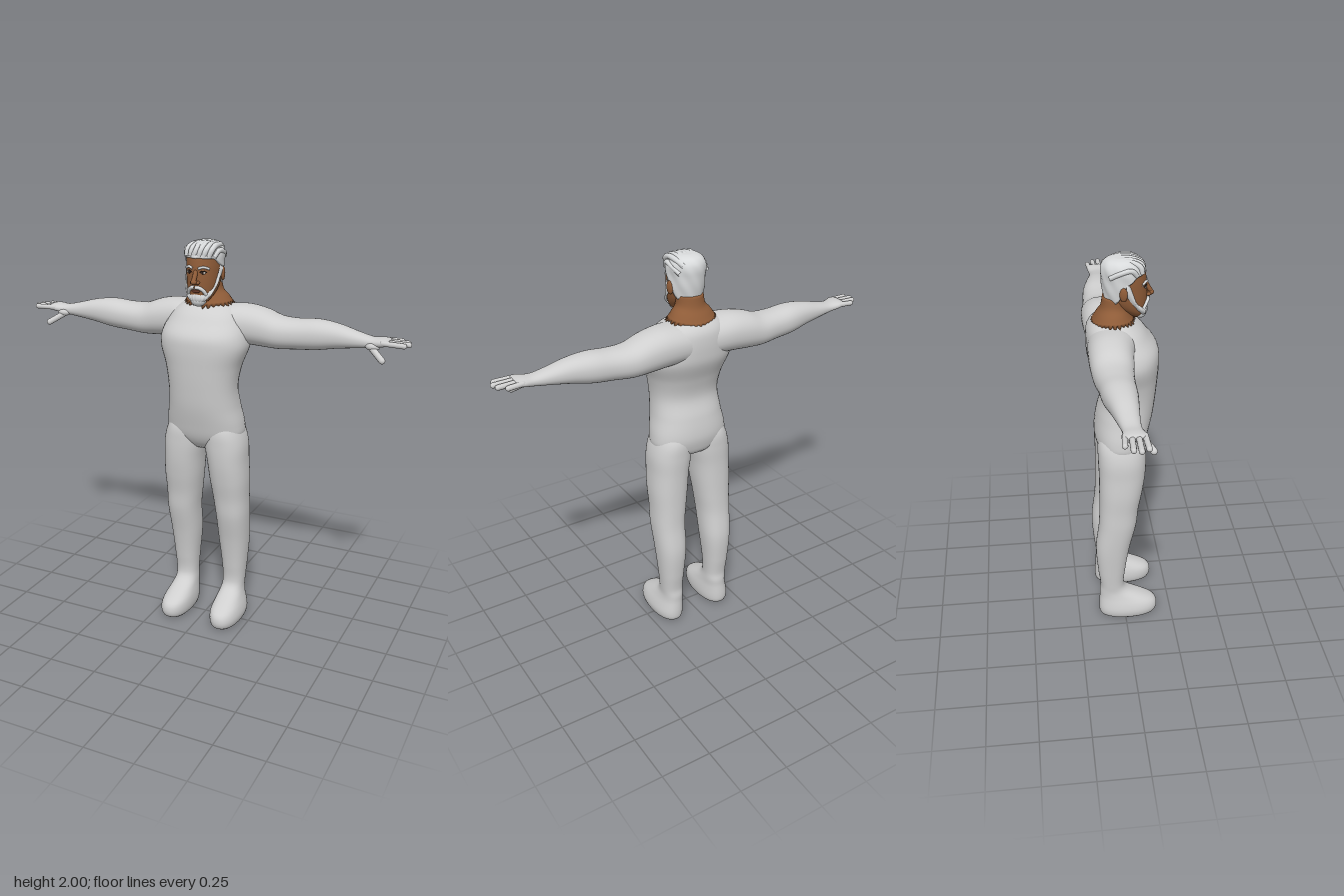
import * as THREE from 'three';

const mat = (name, color, side = THREE.FrontSide) => {
  const m = new THREE.MeshStandardMaterial({ color, side });
  m.name = name;
  return m;
};

// Smooth lookup in a table of rows [t, a, b, ...]
function sample(rows, t) {
  let i = 0;
  while (i < rows.length - 2 && t > rows[i + 1][0]) i++;
  const p = rows[i], q = rows[i + 1], o = rows[Math.max(i - 1, 0)], r = rows[Math.min(i + 2, rows.length - 1)];
  const h = q[0] - p[0], s = THREE.MathUtils.clamp((t - p[0]) / h, 0, 1);
  return p.slice(1).map((a, k) => {
    const b = q[k + 1];
    const m0 = (b - o[k + 1]) / (q[0] - o[0]) * h, m1 = (r[k + 1] - a) / (r[0] - p[0]) * h;
    return (2 * s ** 3 - 3 * s * s + 1) * a + (s ** 3 - 2 * s * s + s) * m0
      + (3 * s * s - 2 * s ** 3) * b + (s ** 3 - s * s) * m1;
  });
}

// Grid surface from fn(u, v) -> [x, y, z]; closed grids get end caps
function surface(fn, nu, nv, closed = true) {
  const pos = [], idx = [], cols = closed ? nu : nu + 1;
  for (let j = 0; j <= nv; j++) for (let i = 0; i < cols; i++) pos.push(...fn(i / nu, j / nv));
  for (let j = 0; j < nv; j++) for (let i = 0; i < nu; i++) {
    const a = j * cols + i, b = j * cols + (i + 1) % cols;
    idx.push(a, b, b + cols, a, b + cols, a + cols);
  }
  if (closed) for (const j of [0, nv]) {
    const c = [0, 0, 0];
    for (let i = 0; i < nu; i++) for (let k = 0; k < 3; k++) c[k] += pos[(j * cols + i) * 3 + k] / nu;
    const n = pos.length / 3;
    pos.push(...c);
    for (let i = 0; i < nu; i++) {
      const a = j * cols + i, b = j * cols + (i + 1) % cols;
      idx.push(n, j ? a : b, j ? b : a);
    }
  }
  const g = new THREE.BufferGeometry();
  g.setAttribute('position', new THREE.Float32BufferAttribute(pos, 3));
  g.setIndex(idx);
  g.computeVertexNormals();
  return g;
}

// Rounded cross-section offsets; p below 1 squares the ellipse
const round = (c, p) => Math.sign(c) * Math.abs(c) ** p;

// Loft along y (rows: y, cx, rx, cz, rz) or x (rows: x, cy, ry, cz, rz)
function loft(rows, axis, p = 0.9, nu = 40, nv = 56) {
  const lo = rows[0][0], hi = rows[rows.length - 1][0];
  return surface((u, v) => {
    const t = lo + (hi - lo) * v, [c1, r1, cz, rz] = sample(rows, t), th = u * Math.PI * 2;
    const s = round(Math.sin(th), p), c = round(Math.cos(th), p);
    return axis === 'y' ? [c1 + r1 * s, t, cz + rz * c] : [t, c1 + r1 * c, cz + rz * s];
  }, nu, nv);
}

function mirrored(g) {
  const m = g.clone().applyMatrix4(new THREE.Matrix4().makeScale(-1, 1, 1));
  m.index.array.reverse();
  m.computeVertexNormals();
  return m;
}

export function createModel() {
  const model = new THREE.Group();
  model.name = 'standingMan';
  const suit = mat('suitGrey', 0xcfcfcf), skin = mat('skinBrown', 0x8f5c38);
  const hair = mat('hairWhite', 0xd8dadb, THREE.DoubleSide);
  const lip = mat('lipBrown', 0x5e3426), eyeWhite = mat('eyeWhite', 0xd6d0c8), iris = mat('irisDark', 0x2a1c16);
  const add = (name, geo, m, parent = model) => {
    const mesh = new THREE.Mesh(geo, m);
    mesh.name = name;
    parent.add(mesh);
    return mesh;
  };
  const ball = (name, m, pos, size) => {
    const b = add(name, new THREE.SphereGeometry(1, 20, 14), m);
    b.position.set(...pos);
    b.scale.set(...size);
    return b;
  };
  const limb = (name, m, a, b, r) => {
    const A = new THREE.Vector3(...a), d = new THREE.Vector3(...b).sub(A), l = d.length();
    const mesh = add(name, new THREE.CapsuleGeometry(r, l - 2 * r, 6, 14), m);
    mesh.position.copy(A).addScaledVector(d, 0.5);
    mesh.quaternion.setFromUnitVectors(new THREE.Vector3(0, 1, 0), d.normalize());
  };
  const tube = (name, m, pts, r) =>
    add(name, new THREE.TubeGeometry(new THREE.CatmullRomCurve3(pts.map(p => new THREE.Vector3(...p))), 16, r, 8), m);

  // Torso
  add('torso', loft([
    [0.97, 0, 0.06, 0, 0.06], [1.0, 0, 0.14, -0.013, 0.1], [1.04, 0, 0.195, -0.012, 0.12],
    [1.1, 0, 0.2, -0.008, 0.133], [1.2, 0, 0.182, 0.01, 0.138], [1.3, 0, 0.175, 0.028, 0.133],
    [1.4, 0, 0.19, 0.022, 0.148], [1.5, 0, 0.222, 0.005, 0.17], [1.56, 0, 0.215, -0.003, 0.17],
    [1.62, 0, 0.19, -0.025, 0.148], [1.66, 0, 0.165, -0.037, 0.128], [1.69, 0, 0.13, -0.045, 0.098],
    [1.71, 0, 0.085, -0.045, 0.07]], 'y', 0.88), suit);

  // Legs with feet, arms with palms
  const leg = loft([
    [0, 0.143, 0.06, 0.015, 0.13], [0.015, 0.143, 0.073, 0.015, 0.15], [0.05, 0.143, 0.08, 0.017, 0.157],
    [0.09, 0.14, 0.075, 0.01, 0.148], [0.125, 0.137, 0.065, -0.02, 0.115], [0.16, 0.135, 0.058, -0.055, 0.08],
    [0.2, 0.137, 0.057, -0.067, 0.063], [0.3, 0.138, 0.064, -0.07, 0.072], [0.45, 0.137, 0.077, -0.063, 0.088],
    [0.6, 0.138, 0.084, -0.038, 0.096], [0.7, 0.132, 0.09, -0.03, 0.1], [0.8, 0.127, 0.098, -0.02, 0.109],
    [0.9, 0.12, 0.101, -0.013, 0.116], [1.0, 0.11, 0.106, -0.012, 0.12], [1.08, 0.1, 0.092, -0.012, 0.115],
    [1.15, 0.09, 0.06, -0.01, 0.08]], 'y', 0.88, 40, 90);
  const arm = loft([
    [0, 1.59, 0.09, -0.06, 0.1], [0.12, 1.598, 0.095, -0.06, 0.113], [0.2, 1.598, 0.096, -0.07, 0.106],
    [0.28, 1.588, 0.091, -0.074, 0.1], [0.36, 1.573, 0.079, -0.074, 0.092], [0.45, 1.575, 0.073, -0.07, 0.083],
    [0.55, 1.583, 0.072, -0.067, 0.078], [0.65, 1.587, 0.057, -0.06, 0.063], [0.75, 1.582, 0.037, -0.053, 0.048],
    [0.82, 1.58, 0.025, -0.047, 0.042], [0.87, 1.587, 0.021, -0.044, 0.053], [0.9, 1.59, 0.015, -0.043, 0.053]], 'x');
  add('leftLeg', leg, suit);
  add('rightLeg', mirrored(leg), suit);
  add('leftArm', arm, suit);
  add('rightArm', mirrored(arm), suit);

  for (const s of [1, -1]) {
    // Fingers: base z, tip z, tip x
    for (const [z0, z1, x] of [[-0.083, -0.092, 0.955], [-0.056, -0.061, 0.99], [-0.029, -0.03, 1.0], [-0.003, 0.002, 0.985]])
      limb('finger', suit, [s * 0.86, 1.59, z0], [s * x, 1.588, z1], 0.0125);
    limb('thumb', suit, [s * 0.8, 1.574, -0.03], [s * 0.895, 1.512, 0.04], 0.015);
    ball('thumbBase', suit, [s * 0.825, 1.567, -0.018], [0.035, 0.02, 0.024]);
  }

  // Neck with a ragged lower edge over the shoulders
  const neckRows = [[0, 0.118, -0.045, 0.1], [0.3, 0.096, -0.043, 0.08], [0.55, 0.073, -0.037, 0.066],
    [1, 0.066, -0.03, 0.062]];
  add('neck', surface((u, v) => {
    const th = u * Math.PI * 2, c = Math.cos(th), [rx, cz, rz] = sample(neckRows, v);
    const jag = v === 0 ? (Math.round(u * 60) % 2) * (0.1 + 0.06 * Math.sin(th * 7)) : 0;
    const low = 1.702 - 0.008 * c * c - (c < 0 ? 0.008 * c * c : 0);
    return [rx * (1 + jag) * Math.sin(th), low + (1.81 - low) * v - jag * 0.12, cz + rz * (1 + jag) * c];
  }, 60, 12), skin);

  // Head
  const headRows = [[1.705, 0.025, 0.07, 0.025], [1.73, 0.05, 0.06, 0.046], [1.76, 0.066, 0.04, 0.073],
    [1.8, 0.076, 0.023, 0.093], [1.85, 0.081, 0.016, 0.099], [1.9, 0.083, 0.012, 0.1],
    [1.94, 0.08, 0.008, 0.092], [1.975, 0.045, 0, 0.055]];
  const headPoint = (y, th, k = 0) => {
    const [rx, cz, rz] = sample(headRows, y);
    return [(rx + k) * Math.sin(th), y, cz + (rz + k) * Math.cos(th)];
  };
  add('head', surface((u, v) => headPoint(1.705 + 0.27 * v, u * Math.PI * 2), 40, 30), skin);

  // Nose
  limb('noseBridge', skin, [0, 1.87, 0.106], [0, 1.815, 0.139], 0.011);
  ball('noseTip', skin, [0, 1.818, 0.133], [0.015, 0.013, 0.016]);

  for (const s of [1, -1]) {
    ball('nostril', skin, [s * 0.014, 1.814, 0.121], [0.01, 0.009, 0.013]);
    ball('ear', skin, [s * 0.088, 1.845, -0.002], [0.011, 0.034, 0.019]).rotation.y = s * 0.3;
    // Eyes and brows
    ball('eyeball', eyeWhite, [s * 0.034, 1.859, 0.104], [0.014, 0.007, 0.006]);
    ball('iris', iris, [s * 0.034, 1.859, 0.108], [0.006, 0.0065, 0.004]);
    tube('upperLid', iris, [[s * 0.019, 1.86, 0.11], [s * 0.034, 1.867, 0.107], [s * 0.05, 1.86, 0.097]], 0.0025);
    tube('eyebrow', hair, [[s * 0.014, 1.878, 0.115], [s * 0.035, 1.885, 0.107], [s * 0.06, 1.876, 0.087]], 0.006);
    // Moustache half
    tube('moustache', hair, [[0, 1.79, 0.122], [s * 0.018, 1.789, 0.118], [s * 0.036, 1.776, 0.107], [s * 0.046, 1.755, 0.094]], 0.009);
  }
  ball('lips', lip, [0, 1.771, 0.109], [0.022, 0.008, 0.01]);

  // Beard: shell along the jaw rising into sideburns
  const beardEdges = [[0, 1.7, 1.758], [0.5, 1.705, 1.755], [0.9, 1.72, 1.768], [1.2, 1.75, 1.8], [1.4, 1.79, 1.875], [1.6, 1.83, 1.9]];
  add('beard', surface((u, v) => {
    const th = (u * 2 - 1) * 1.6, [lo, hi] = sample(beardEdges, Math.abs(th));
    return headPoint(lo + (hi - lo) * v, th, 0.003 + 0.008 * Math.sin(Math.PI * v) + 0.0015 * Math.sin(th * 24));
  }, 64, 10, false), hair);
  ball('chinBeard', hair, [0, 1.726, 0.083], [0.04, 0.032, 0.032]);

  // Hair cap with an uneven hairline and soft waves
  const hairline = [[-1, 1.785], [-0.4, 1.8], [0, 1.875], [0.3, 1.9], [0.6, 1.922], [1, 1.925]];
  const hairRows = [[1.78, 0.076, 0.012, 0.092], [1.85, 0.088, 0.009, 0.102], [1.9, 0.09, 0.008, 0.106],
    [1.94, 0.091, 0.003, 0.103], [1.97, 0.08, 0, 0.09], [1.99, 0.054, -0.002, 0.06], [2, 0.004, 0, 0.004]];
  add('hairCap', surface((u, v) => {
    const th = u * Math.PI * 2, [edge] = sample(hairline, Math.cos(th));
    const y = edge + (1.995 - edge) * Math.sin(v * Math.PI / 2), [rx, cz, rz] = sample(hairRows, y);
    const w = 1 + 0.02 * Math.sin(th * 9 + y * 60) * Math.cos(v * 1.5);
    return [rx * w * Math.sin(th), y, cz + rz * w * Math.cos(th)];
  }, 72, 24), hair);

  // Swept locks from the parting
  for (let i = 0; i < 6; i++) {
    const x = -0.055 + i * 0.024, k = 1 - (x / 0.1) ** 2;
    tube('hairLock', hair, [[x * 0.9 - 0.006, 1.93, 0.06 + 0.036 * k], [x, 1.96, 0.05 + 0.042 * k],
      [x * 0.95 + 0.006, 1.968 + 0.014 * k, 0.045], [x * 0.85 + 0.012, 1.968 + 0.014 * k, -0.01],
      [x * 0.8, 1.955, -0.07]], 0.014);
  }
  for (const s of [1, -1])
    tube('sideLock', hair, [[s * 0.07, 1.925, 0.062], [s * 0.083, 1.955, 0.035], [s * 0.084, 1.945, -0.015], [s * 0.07, 1.92, -0.062]], 0.012);

  return model;
}
